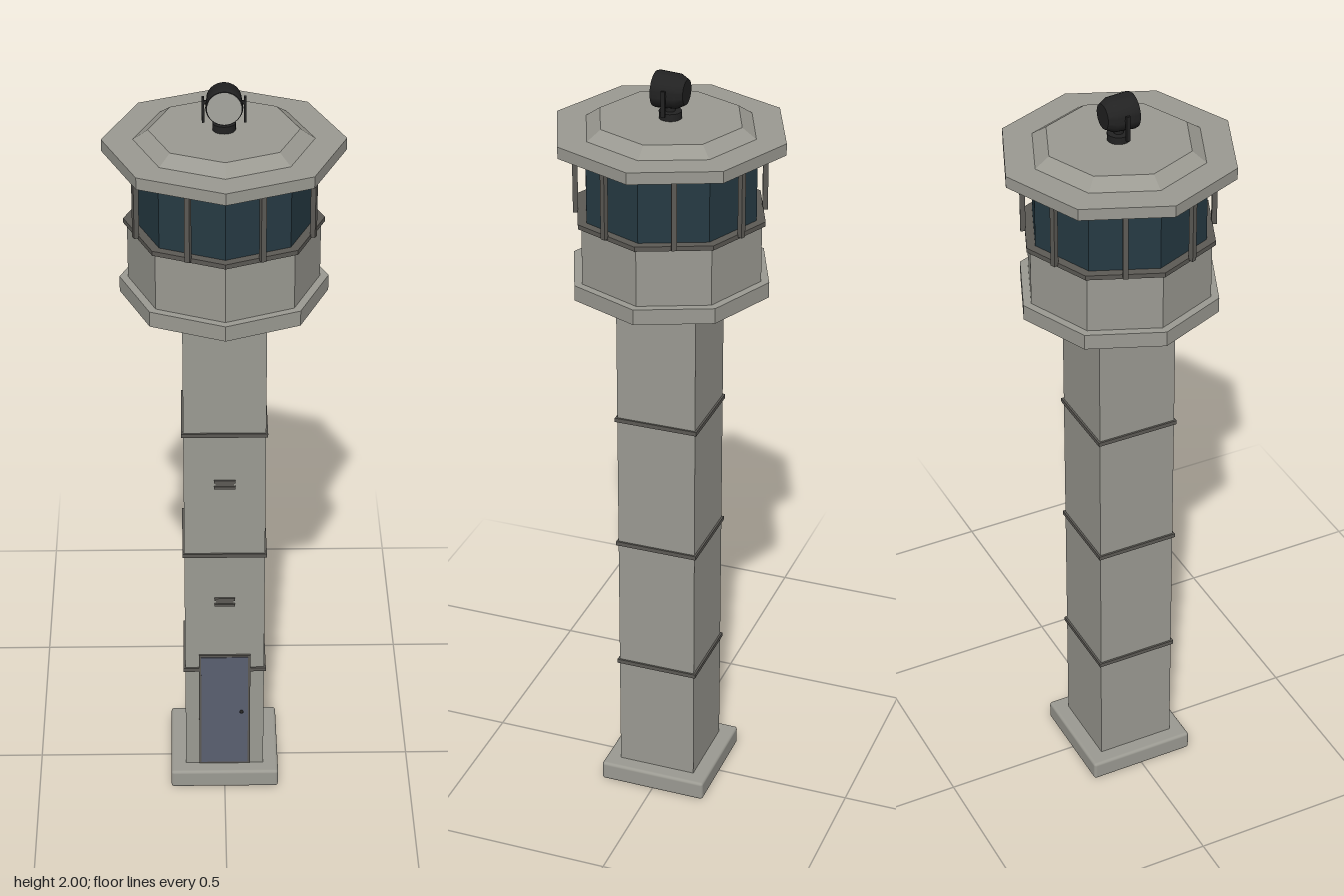
import * as THREE from 'three';
import { toCreasedNormals } from 'three/addons/utils/BufferGeometryUtils.js';
import { RoundedBoxGeometry } from 'three/addons/geometries/RoundedBoxGeometry.js';

const mat = (name, color) => {
  const m = new THREE.MeshStandardMaterial({ color });
  m.name = name;
  return m;
};

export function createModel() {
  const concrete = mat('concrete', 0x9b9a92);
  const trim = mat('dark trim', 0x5c5a55);
  const glass = mat('tinted glass', 0x263a43);
  const doorPaint = mat('door paint', 0x5a5f70);
  const black = mat('black metal', 0x222222);
  const lensGrey = mat('lens grey', 0xa6a69f);

  const tower = new THREE.Group();
  tower.name = 'watchtower';

  const add = (name, geometry, material, x = 0, y = 0, z = 0, parent = tower) => {
    const mesh = new THREE.Mesh(geometry, material);
    mesh.name = name;
    mesh.position.set(x, y, z);
    parent.add(mesh);
    return mesh;
  };
  const box = (name, w, h, d, material, x, y, z, parent) =>
    add(name, new THREE.BoxGeometry(w, h, d), material, x, y, z, parent);
  // Eight-sided faceted drum with corners on the x and z axes
  const octagon = (name, rTop, rBottom, y0, y1, material) =>
    add(name, toCreasedNormals(new THREE.CylinderGeometry(rTop, rBottom, y1 - y0, 8), 0.3),
      material, 0, (y0 + y1) / 2, 0);

  // Footing and square shaft
  add('footing', new RoundedBoxGeometry(0.288, 0.052, 0.288, 2, 0.008), concrete, 0, 0.026, 0);
  box('shaft', 0.208, 1.41, 0.208, concrete, 0, 0.75, 0);
  for (const y of [0.367, 0.731, 1.094]) box('shaftBand', 0.218, 0.011, 0.218, trim, 0, y, 0);

  // Louvred vents on the front
  for (const y of [0.585, 0.948]) {
    box('ventBack', 0.046, 0.02, 0.004, trim, 0, y, 0.105);
    for (const s of [-1, 1]) box('ventSlat', 0.054, 0.007, 0.01, trim, 0, y + s * 0.009, 0.105);
  }

  // Door
  box('doorFrame', 0.136, 0.36, 0.008, trim, 0, 0.234, 0.105);
  box('door', 0.124, 0.348, 0.012, doorPaint, 0, 0.234, 0.105);
  add('doorHandle', new THREE.SphereGeometry(0.005, 12, 8), black, 0.045, 0.23, 0.113);

  // Cabin
  octagon('cabinLedge', 0.257, 0.257, 1.45, 1.49, concrete);
  octagon('cabinWall', 0.236, 0.236, 1.49, 1.645, concrete);
  octagon('windowSill', 0.245, 0.245, 1.638, 1.65, trim);
  octagon('windows', 0.222, 0.222, 1.645, 1.832, glass);
  for (let i = 0; i < 8; i++) {
    const a = (i + 0.5) * Math.PI / 4;
    const post = box('windowPost', 0.013, 0.19, 0.013, trim,
      Math.sin(a) * 0.231, 1.738, Math.cos(a) * 0.231);
    post.rotation.y = a;
  }

  // Roof
  octagon('roofSlab', 0.294, 0.294, 1.83, 1.86, concrete);
  octagon('roofCap', 0.182, 0.218, 1.86, 1.885, concrete);

  // Searchlight
  const light = new THREE.Group();
  light.name = 'searchlight';
  light.position.y = 1.955;
  tower.add(light);
  add('lampFoot', new THREE.CylinderGeometry(0.028, 0.028, 0.018, 24), black, 0, -0.061, 0, light);
  add('lampNeck', new THREE.CylinderGeometry(0.012, 0.012, 0.03, 16), black, 0, -0.043, 0, light);
  const profile = [[0, -0.042], [0.031, -0.042], [0.042, -0.022], [0.044, 0.016],
    [0.045, 0.03], [0.043, 0.037], [0.04, 0.037], [0.04, 0.03], [0, 0.03]]
    .map(([r, z]) => new THREE.Vector2(r, z));
  add('lampHousing', toCreasedNormals(new THREE.LatheGeometry(profile, 32).rotateX(Math.PI / 2), 0.5),
    black, 0, 0, 0, light);
  add('lampLens', new THREE.CylinderGeometry(0.041, 0.041, 0.004, 32).rotateX(Math.PI / 2),
    lensGrey, 0, 0, 0.0355, light);
  for (const s of [-1, 1]) {
    box('yokeArm', 0.006, 0.065, 0.01, black, s * 0.05, -0.018, 0, light);
    add('yokePivot', new THREE.CylinderGeometry(0.005, 0.005, 0.014, 12).rotateZ(Math.PI / 2),
      black, s * 0.046, 0, 0, light);
  }
  return tower;
}
